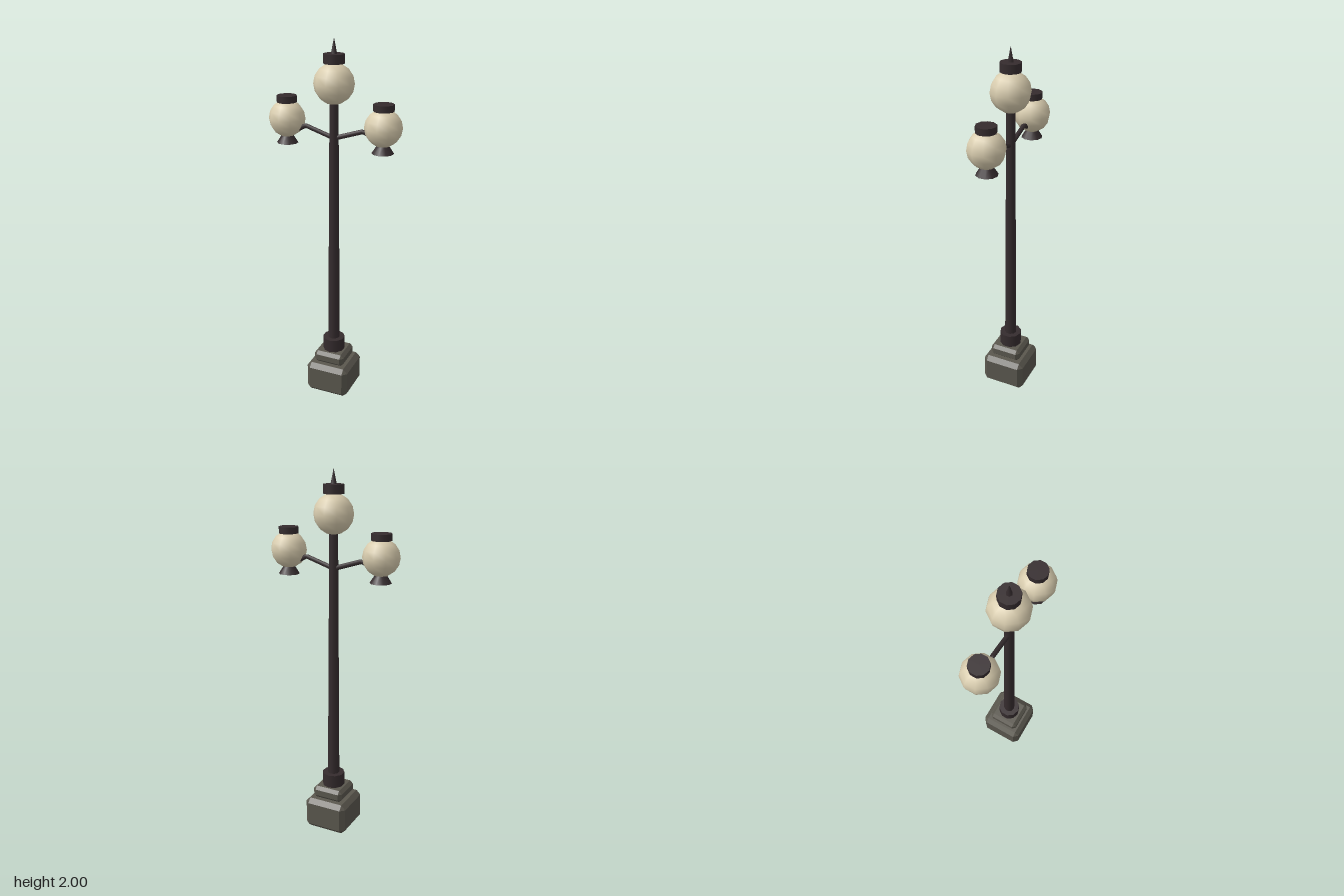
import * as THREE from 'three';
import { ConvexGeometry } from 'three/addons/geometries/ConvexGeometry.js';

const SIDES = 10;

export function createModel() {
  const metal = new THREE.MeshStandardMaterial({ name: 'darkMetal', color: 0x352c2e });
  const stone = new THREE.MeshStandardMaterial({ name: 'greyStone', color: 0x5a574e });
  const glass = new THREE.MeshStandardMaterial({ name: 'creamGlass', color: 0xd8ccae });
  const model = new THREE.Group();
  model.name = 'streetLamp';

  function add(parent, name, geometry, material, x = 0, y = 0) {
    const mesh = new THREE.Mesh(geometry, material);
    mesh.name = name;
    mesh.position.set(x, y, 0);
    parent.add(mesh);
    return mesh;
  }

  // Upright cylinder or cone between two heights
  function column(parent, name, rBottom, rTop, y0, y1, x = 0, sides = SIDES) {
    const geometry = new THREE.CylinderGeometry(rTop, rBottom, y1 - y0, sides);
    return add(parent, name, geometry, metal, x, (y0 + y1) / 2);
  }

  // Square block with every edge bevelled
  function block(name, half, y0, y1, bevel) {
    const h = (y1 - y0) / 2, points = [];
    for (const sx of [-1, 1]) for (const sy of [-1, 1]) for (const sz of [-1, 1]) {
      points.push(
        new THREE.Vector3(sx * half, sy * (h - bevel), sz * (half - bevel)),
        new THREE.Vector3(sx * (half - bevel), sy * h, sz * (half - bevel)),
        new THREE.Vector3(sx * (half - bevel), sy * (h - bevel), sz * half));
    }
    add(model, name, new ConvexGeometry(points), stone, 0, (y0 + y1) / 2);
  }

  function globe(parent, radius, x, y) {
    const geometry = new THREE.SphereGeometry(radius, SIDES, 8).rotateY(Math.PI / 2);
    add(parent, 'globe', geometry, glass, x, y);
  }

  // Plinth and pole
  block('lowerPlinth', 0.124, 0, 0.18, 0.025);
  block('upperPlinth', 0.089, 0.18, 0.25, 0.018);
  column(model, 'poleCollar', 0.062, 0.062, 0.25, 0.325);
  column(model, 'pole', 0.033, 0.023, 0.325, 1.69);

  // Top lantern
  const top = new THREE.Group();
  top.name = 'topLantern';
  model.add(top);
  globe(top, 0.105, 0, 1.78);
  column(top, 'cap', 0.055, 0.055, 1.88, 1.927);
  column(top, 'finial', 0.016, 0.001, 1.925, 2.0, 0, 6);

  // Side lanterns on bent arms
  for (const side of [-1, 1]) {
    const lantern = new THREE.Group();
    lantern.name = side > 0 ? 'leftLantern' : 'rightLantern';
    model.add(lantern);

    const path = new THREE.CurvePath();
    const bends = [[0, 1.5], [0.16, 1.551], [0.205, 1.528]]
      .map(([x, y]) => new THREE.Vector3(side * x, y, 0));
    path.add(new THREE.LineCurve3(bends[0], bends[1]));
    path.add(new THREE.LineCurve3(bends[1], bends[2]));
    add(lantern, 'arm', new THREE.TubeGeometry(path, 16, 0.0125, 8), metal);

    globe(lantern, 0.097, side * 0.267, 1.58);
    column(lantern, 'cap', 0.053, 0.053, 1.665, 1.7, side * 0.267);
    column(lantern, 'cup', 0.057, 0.03, 1.45, 1.492, side * 0.267);
  }

  return model;
}
